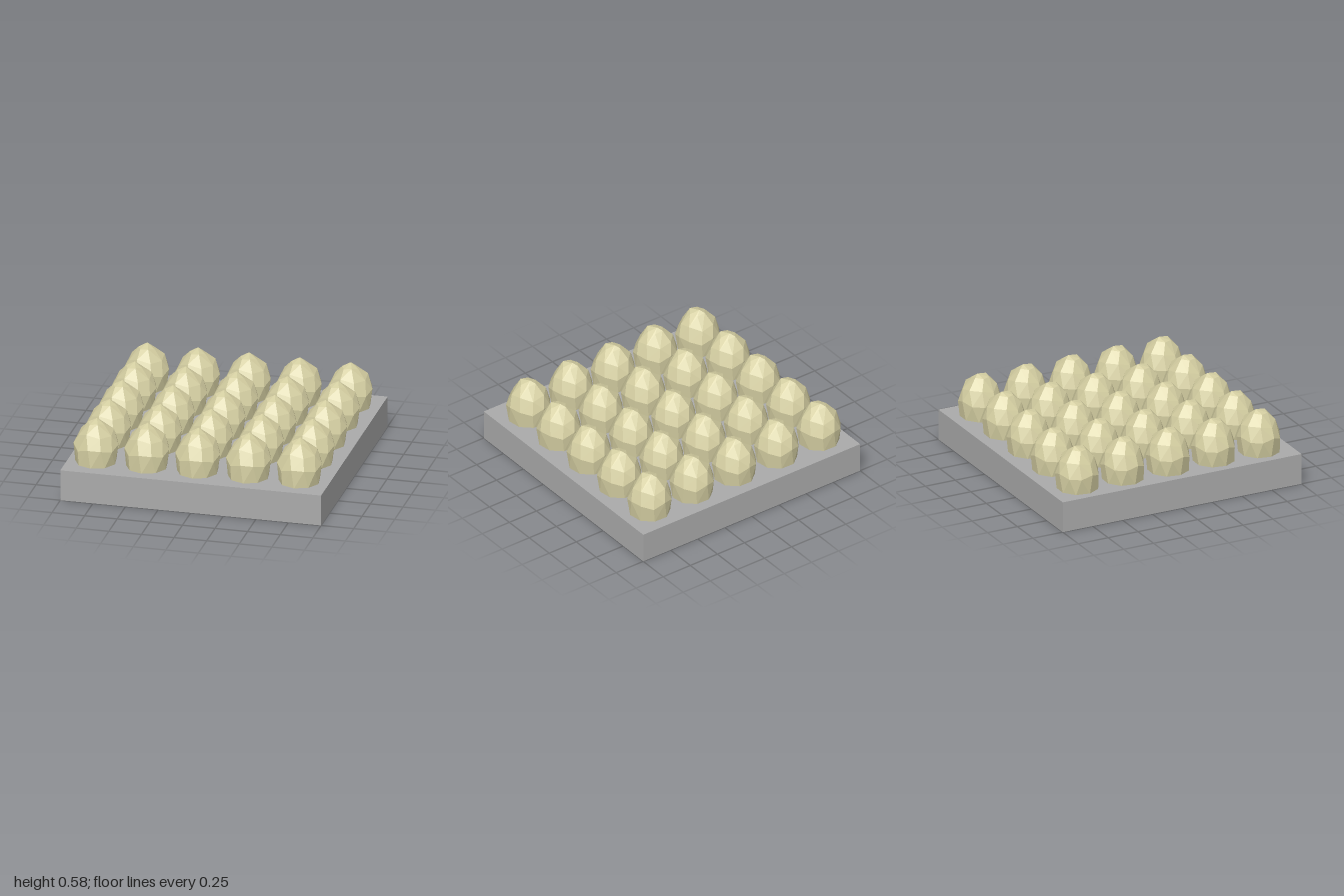
import * as THREE from 'three';
import { ConvexGeometry } from 'three/addons/geometries/ConvexGeometry.js';

// Faceted dome: staggered, slightly uneven rings wrapped in a convex hull
function domeGeometry() {
  // [height, x radius, z radius, z shift, corners, turn]
  const rings = [
    [0.235, 0.155, 0.158, 0.005, 9, 0.2],
    [0.37, 0.17, 0.163, 0.0, 11, 0.0],
    [0.47, 0.134, 0.127, -0.003, 8, 0.35],
    [0.55, 0.062, 0.064, 0.005, 6, 0.1],
  ];
  const points = [new THREE.Vector3(0, 0.576, -0.022)];
  rings.forEach(([y, rx, rz, cz, n, turn], r) => {
    for (let i = 0; i < n; i++) {
      const a = turn + (i / n) * Math.PI * 2;
      const lift = r === 0 ? 0 : 0.018 * Math.sin(i * 2.4 + r * 1.7);
      points.push(new THREE.Vector3(
        rx * Math.cos(a), y + lift * (r === 3 ? 0.4 : 1), cz + rz * Math.sin(a)));
    }
  });
  return new ConvexGeometry(points);
}

export function createModel() {
  const group = new THREE.Group();
  const stone = new THREE.MeshStandardMaterial({ color: 0xaaaaaa, name: 'grey slab' });
  const cream = new THREE.MeshStandardMaterial({ color: 0xd6d0a3, name: 'pale cream', flatShading: true });

  // Square slab
  const slab = new THREE.Mesh(new THREE.BoxGeometry(2, 0.24, 2), stone);
  slab.name = 'slab';
  slab.position.y = 0.12;
  group.add(slab);

  // Five by five grid of domes
  const domes = new THREE.Group();
  domes.name = 'domes';
  const geometry = domeGeometry();
  for (let row = 0; row < 5; row++) {
    for (let col = 0; col < 5; col++) {
      const dome = new THREE.Mesh(geometry, cream);
      dome.name = 'dome';
      dome.position.set(-0.008 + (col - 2) * 0.39, 0, -0.01 + (row - 2) * 0.38);
      domes.add(dome);
    }
  }
  group.add(domes);
  return group;
}
